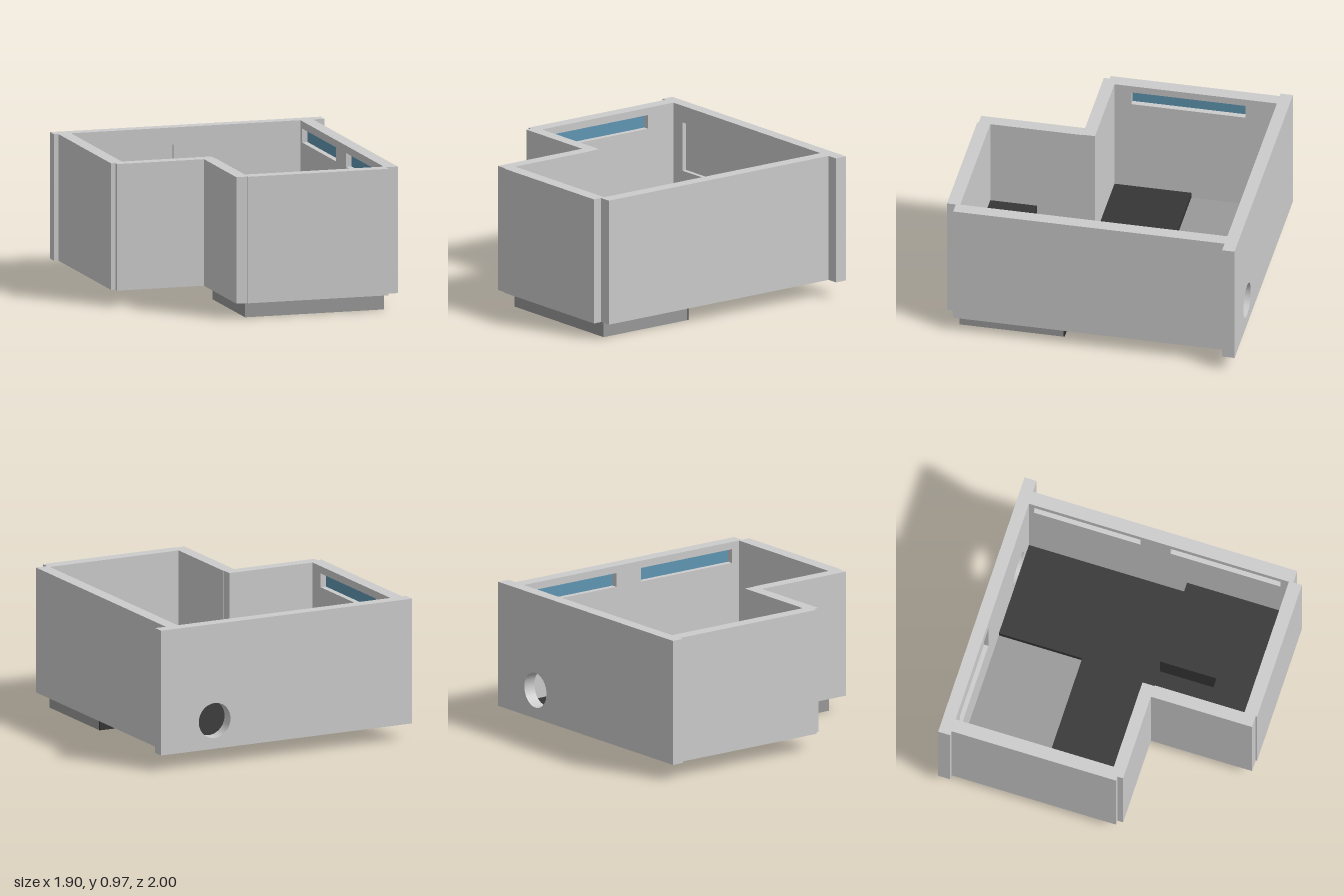
import * as THREE from 'three';

const material = (color) => new THREE.MeshStandardMaterial({ color });
const wallMat = material(0xcccccc);
const floorMat = material(0x999999);
const darkMat = material(0x353535);
const glassMat = material(0x5f97b3);

const BOTTOM = 0.11, TOP = 0.97;

export function createModel() {
  const model = new THREE.Group();

  const add = (name, geometry, mat) => {
    const mesh = new THREE.Mesh(geometry, mat);
    mesh.name = name;
    model.add(mesh);
    return mesh;
  };

  // Box given by its limits on each axis
  const box = (name, [x0, x1], [y0, y1], [z0, z1], mat = wallMat) => {
    const g = new THREE.BoxGeometry(x1 - x0, y1 - y0, z1 - z0);
    g.translate((x0 + x1) / 2, (y0 + y1) / 2, (z0 + z1) / 2);
    return add(name, g, mat);
  };

  // Horizontal slab from a plan outline of [x, z] points
  const slab = (name, plan, y0, y1, mat) => {
    const shape = new THREE.Shape(plan.map(([x, z]) => new THREE.Vector2(x, -z)));
    const g = new THREE.ExtrudeGeometry(shape, { depth: y1 - y0, bevelEnabled: false });
    g.rotateX(-Math.PI / 2);
    g.translate(0, y0, 0);
    return add(name, g, mat);
  };

  // Upright panel in the xy plane with holes, extruded along z
  const panel = (u0, u1, holes, depth) => {
    const shape = new THREE.Shape([[u0, BOTTOM], [u1, BOTTOM], [u1, TOP], [u0, TOP]]
      .map((p) => new THREE.Vector2(...p)));
    shape.holes.push(...holes);
    return new THREE.ExtrudeGeometry(shape, { depth, bevelEnabled: false, curveSegments: 24 });
  };
  const rectHole = (u0, u1, y0, y1) => new THREE.Path(
    [[u0, y0], [u0, y1], [u1, y1], [u1, y0]].map((p) => new THREE.Vector2(...p)));
  const pipeHole = () => new THREE.Path().absarc(0.545, 0.305, 0.12, 0, Math.PI * 2, true);

  // Back wall: round opening right through, shallow niche on the inside
  const outerBack = panel(-0.95, 0.95, [pipeHole()], 0.055);
  outerBack.translate(0, 0, -1);
  add('backWallOuter', outerBack, wallMat);
  const innerBack = panel(-0.95, 0.95, [pipeHole(), rectHole(-0.73, -0.11, 0.52, 0.855)], 0.03);
  innerBack.translate(0, 0, -0.945);
  add('backWallInner', innerBack, wallMat);

  // Side walls: solid outside, glazed window recesses inside
  const sideWall = (name, side, inner, z0, z1, windows) => {
    const thick = 0.09, recess = 0.045;
    const span = (a, b) => [side * a, side * b].sort((p, q) => p - q);
    box(name + 'Outer', span(inner + recess, inner + thick), [BOTTOM, TOP], [z0, z1]);
    const holes = windows.map(([a, b]) => rectHole(-b, -a, 0.825, 0.92));
    const g = panel(-z1, -z0, holes, recess);
    g.rotateY(Math.PI / 2);
    g.translate(side > 0 ? inner : -inner - recess, 0, 0);
    add(name + 'Inner', g, wallMat);
    for (const w of windows) {
      box('windowGlass', span(inner + recess - 0.005, inner + recess + 0.005), [0.825, 0.92], w, glassMat);
    }
  };
  sideWall('leftWall', 1, 0.78, -0.915, 0.94, [[-0.88, -0.13], [0.08, 0.85]]);
  sideWall('rightWall', -1, 0.83, -0.915, 0.24, [[-0.7, 0.08]]);

  // Walls around the recessed corner and the front
  box('stepWall', [-0.89, -0.2], [BOTTOM, TOP], [0.195, 0.28]);
  box('stepSideWall', [-0.28, -0.195], [BOTTOM, TOP], [0.28, 0.99]);
  box('frontWall', [-0.2, 0.785], [BOTTOM, TOP], [0.91, 1]);

  // Floor and the dark surfaces laid over it
  slab('floor', [[-0.83, -0.915], [0.78, -0.915], [0.78, 0.91], [-0.195, 0.91],
    [-0.195, 0.195], [-0.83, 0.195]], BOTTOM, 0.125, floorMat);
  slab('darkFloor', [[0.12, -0.915], [0.78, -0.915], [0.78, 0.91], [-0.195, 0.91],
    [-0.195, 0.195], [-0.83, 0.195], [-0.83, -0.33], [0.12, -0.33]], 0.125, 0.165, darkMat);
  slab('raisedPlatform', [[0.19, 0.195], [0.78, 0.195], [0.78, 0.91], [-0.195, 0.91],
    [-0.195, 0.59], [0.19, 0.59]], 0.165, 0.355, darkMat);

  // Lower base with its dark back face
  box('lowerBase', [-0.195, 0.78], [0, BOTTOM], [0.205, 0.915], floorMat);
  box('baseRiser', [-0.195, 0.78], [0, BOTTOM], [0.197, 0.205], darkMat);

  return model;
}
